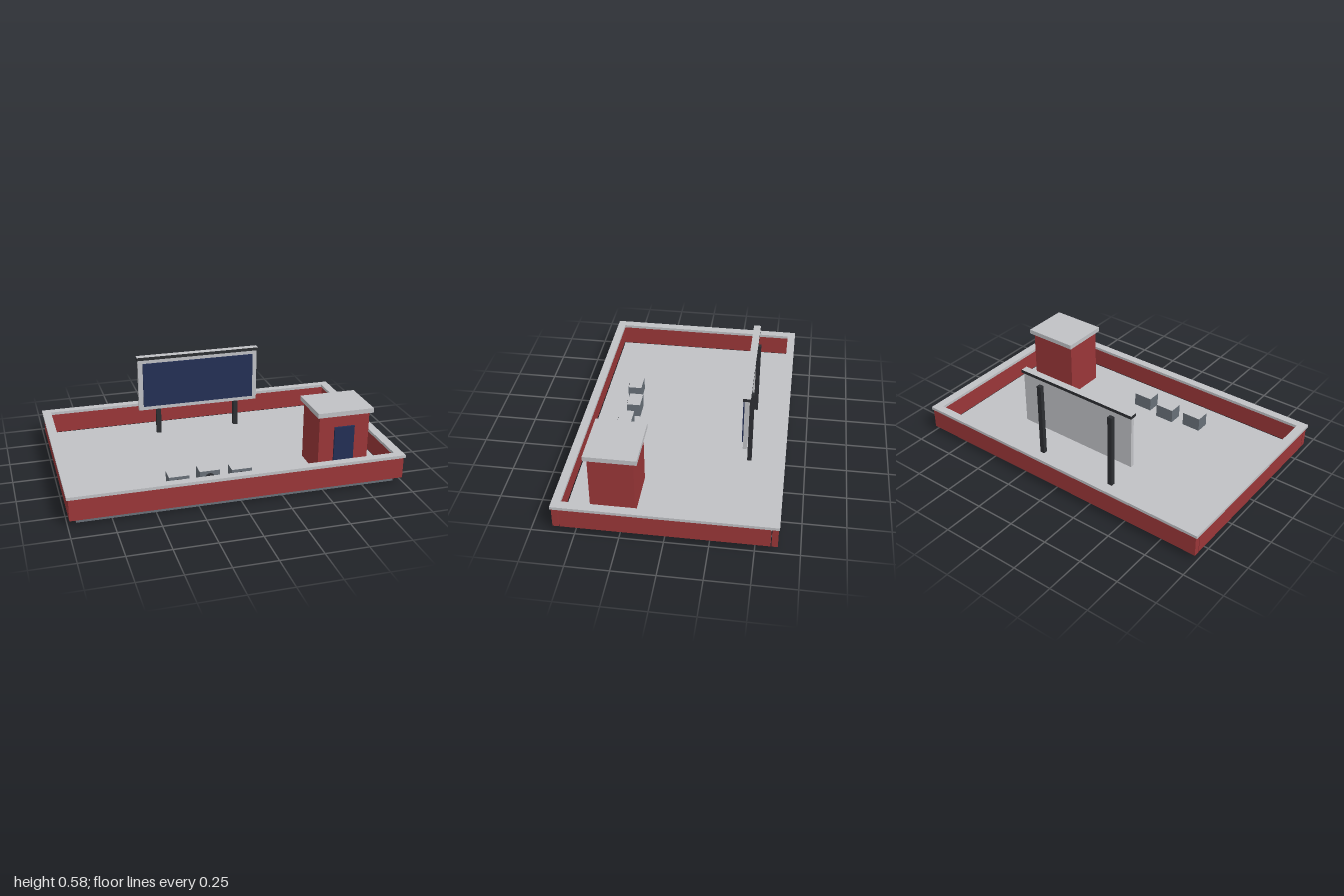
import * as THREE from 'three';

const paint = (name, color) => {
  const m = new THREE.MeshStandardMaterial({ color });
  m.name = name;
  return m;
};

export function createModel() {
  const brick = paint('brick red', 0x9a3638);
  const concrete = paint('light concrete', 0xc0c1c5);
  const slate = paint('slate grey', 0x687078);
  const dark = paint('dark metal', 0x2c2e32);
  const navy = paint('navy glass', 0x232f55);

  const model = new THREE.Group();
  model.name = 'rooftop';

  // Box given by its limits on each axis; top faces may have their own colour
  const box = (name, [x0, x1], [y0, y1], [z0, z1], side, top = side, parent = model) => {
    const g = new THREE.BoxGeometry(x1 - x0, y1 - y0, z1 - z0);
    const mats = top === side ? side : [side, side, top, side, side, side];
    const mesh = new THREE.Mesh(g, mats);
    mesh.position.set((x0 + x1) / 2, (y0 + y1) / 2, (z0 + z1) / 2);
    mesh.name = name;
    parent.add(mesh);
    return mesh;
  };

  const floor = 0.036;

  // Roof slab
  box('roofSlab', [-0.95, 0.95], [0, floor], [-0.585, 0.585], slate, concrete);

  // Parapet walls
  for (const s of [-1, 1]) {
    const z = [s * 0.59, s * 0.625].sort((a, b) => a - b);
    const x = [s * 0.954, s * 0.99].sort((a, b) => a - b);
    box(s > 0 ? 'frontParapet' : 'backParapet', [-0.99, 0.99], [floor, 0.165], z, brick);
    box(s > 0 ? 'leftParapet' : 'rightParapet', x, [floor, 0.165], [-0.585, 0.585], brick);
  }

  // Coping: one flat ring along the wall tops
  const rect = (path, a, b) => path.moveTo(-a, -b).lineTo(a, -b).lineTo(a, b).lineTo(-a, b).closePath();
  const ring = rect(new THREE.Shape(), 1, 0.63);
  ring.holes.push(rect(new THREE.Path(), 0.946, 0.58));
  const copingGeo = new THREE.ExtrudeGeometry(ring, { depth: 0.018, bevelEnabled: false });
  copingGeo.rotateX(-Math.PI / 2).translate(0, 0.165, 0);
  const coping = new THREE.Mesh(copingGeo, concrete);
  coping.name = 'coping';
  model.add(coping);

  // Stair house with door
  const house = new THREE.Group();
  house.name = 'stairHouse';
  model.add(house);
  box('houseWalls', [0.52, 0.835], [floor, 0.405], [0.186, 0.445], brick, brick, house);
  box('houseRoof', [0.503, 0.853], [0.405, 0.434], [0.163, 0.465], concrete, concrete, house);
  box('door', [0.615, 0.74], [floor, 0.33], [0.445, 0.457], navy, navy, house);

  // Billboard on two posts
  const board = new THREE.Group();
  board.name = 'billboard';
  model.add(board);
  box('boardPanel', [-0.398, 0.394], [0.217, 0.56], [-0.4, -0.377], concrete, concrete, board);
  box('boardScreen', [-0.368, 0.364], [0.243, 0.535], [-0.377, -0.368], navy, navy, board);
  box('boardCap', [-0.405, 0.402], [0.56, 0.58], [-0.412, -0.368], dark, concrete, board);
  for (const x of [-0.264, 0.26]) {
    box('boardPost', [x - 0.015, x + 0.015], [floor, 0.52], [-0.426, -0.4], dark, dark, board);
  }

  // Cooling units with a round fan on the front
  for (const [x, z] of [[-0.328, 0.388], [-0.138, 0.363], [0.05, 0.388]]) {
    const unit = new THREE.Group();
    unit.name = 'coolingUnit';
    model.add(unit);
    box('unitCase', [x - 0.061, x + 0.061], [floor, 0.124], [z - 0.043, z + 0.043], slate, concrete, unit);
    const fan = new THREE.Mesh(new THREE.CylinderGeometry(0.029, 0.029, 0.008, 20), dark);
    fan.rotation.x = Math.PI / 2;
    fan.position.set(x, 0.08, z + 0.046);
    fan.name = 'unitFan';
    unit.add(fan);
  }

  return model;
}
